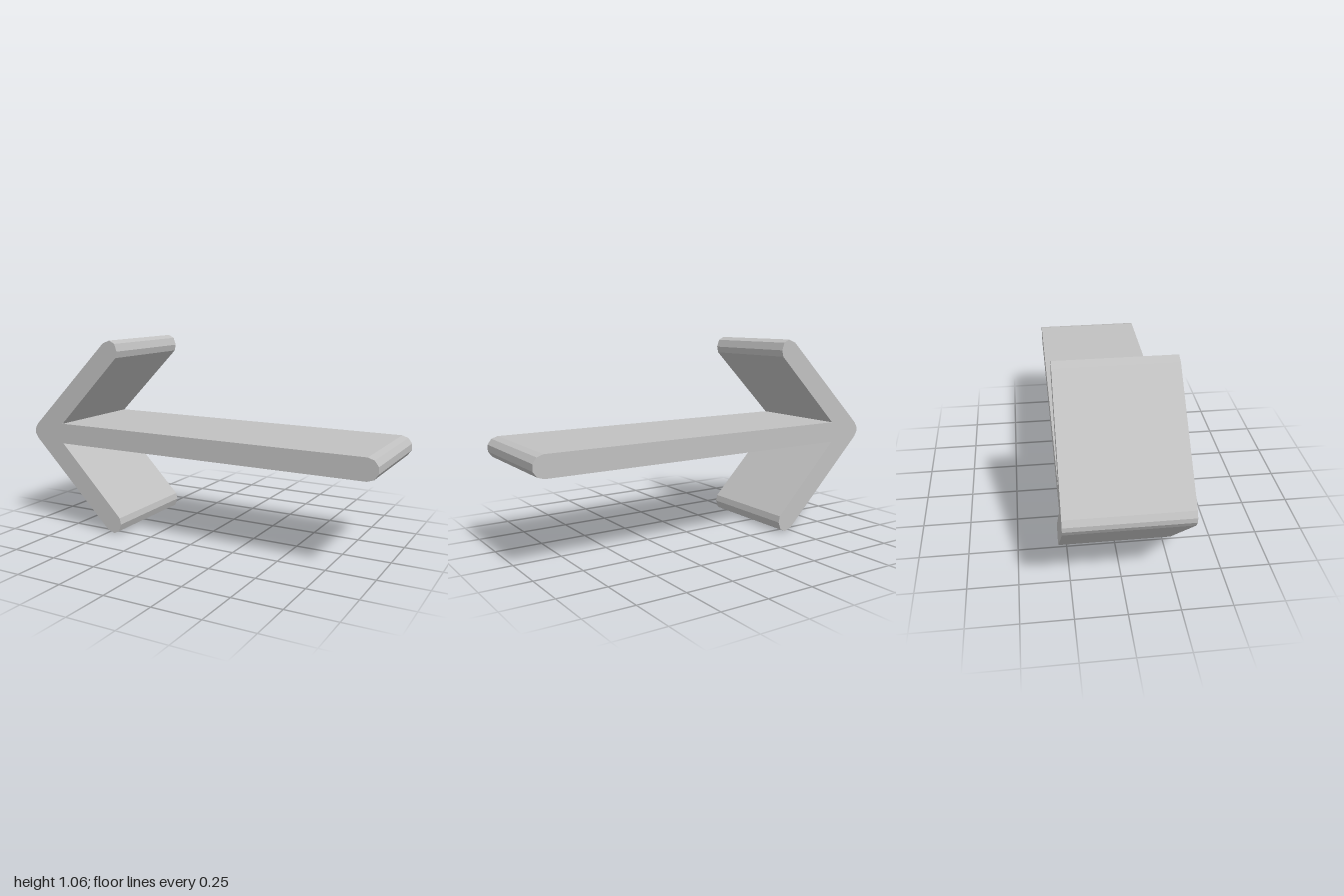
import * as THREE from 'three';

export function createModel() {
  const group = new THREE.Group();
  const grey = new THREE.MeshStandardMaterial({ color: 0xc0c0c0 });
  grey.name = 'light grey';

  const mid = 0.5285, half = 0.056, depth = 0.586;

  // Upper half of the outline, measured from the centre line, tail to tip
  const upper = [];
  for (const deg of [18, 54, 90]) {
    const a = THREE.MathUtils.degToRad(deg);
    upper.push([0.947 + half * Math.cos(a), half * Math.sin(a)]);
  }
  upper.push(
    [-0.8, half],                                        // inner corner
    [-0.424, 0.438], [-0.416, 0.472], [-0.43, 0.512],    // rounded arm end
    [-0.462, 0.5285], [-0.505, 0.512],
    [-0.983, 0.041], [-1, 0.012]                         // blunt tip
  );
  const lower = upper.map(([x, y]) => [x, -y]).reverse();
  const outline = [...upper, ...lower].map(([x, y]) => new THREE.Vector2(x, y + mid));

  // Arrow plate with flat facets
  const geometry = new THREE.ExtrudeGeometry(new THREE.Shape(outline), { depth, bevelEnabled: false });
  geometry.translate(0, 0, -depth / 2);
  const arrow = new THREE.Mesh(geometry, grey);
  arrow.name = 'arrow';
  group.add(arrow);
  return group;
}
